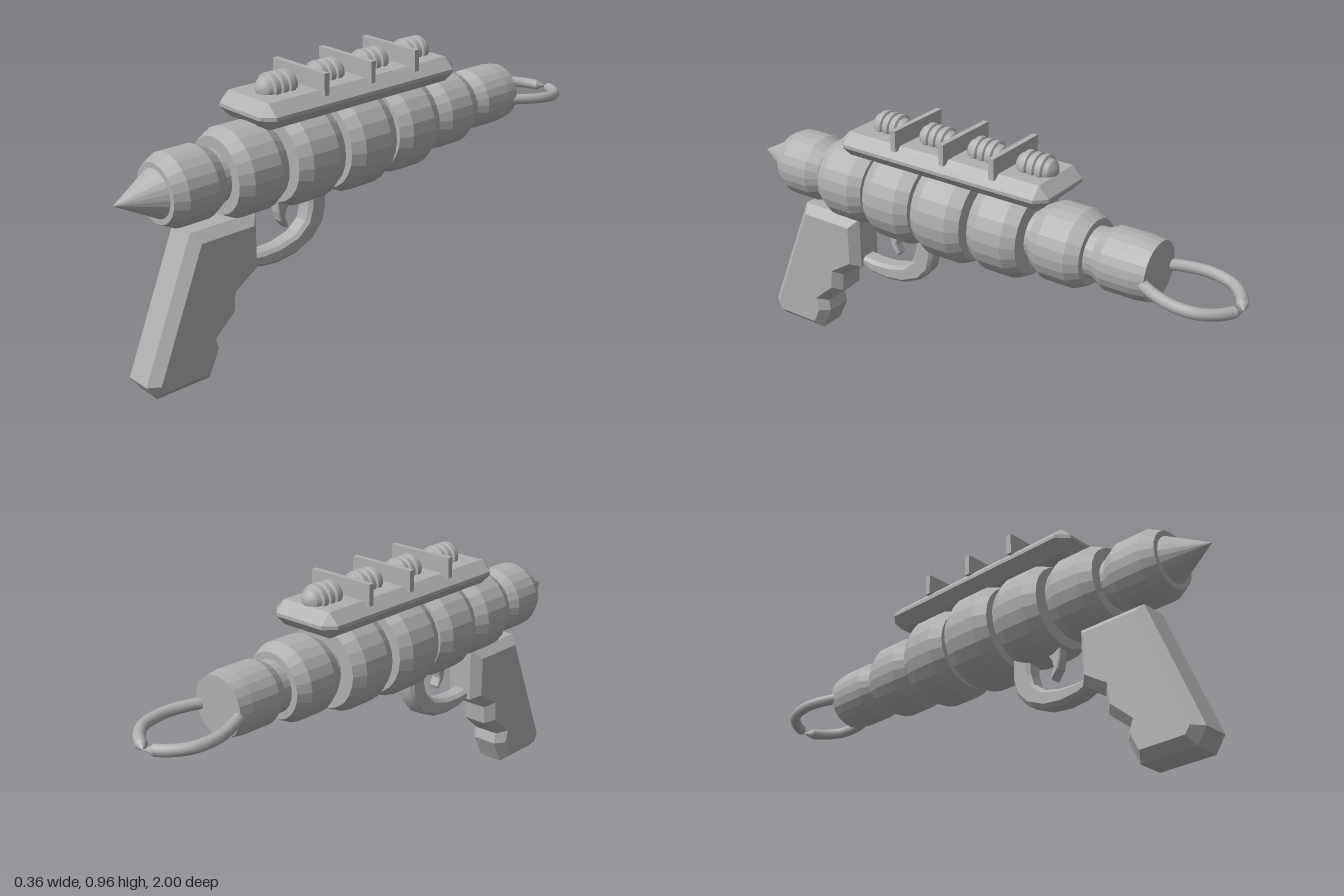
import * as THREE from 'three';
import { toCreasedNormals } from 'three/addons/utils/BufferGeometryUtils.js';
import { ConvexGeometry } from 'three/addons/geometries/ConvexGeometry.js';

const AXIS_Y = 0.67;

export function createModel() {
  const model = new THREE.Group();
  model.name = 'rayGun';
  const grey = new THREE.MeshStandardMaterial({ color: 0xb0b0b0 });
  grey.name = 'grey metal';

  const add = (name, geometry, crease = 0.01) => {
    const mesh = new THREE.Mesh(toCreasedNormals(geometry, crease), grey);
    mesh.name = name;
    model.add(mesh);
    return mesh;
  };

  // Lathe along z: profile is [radius, z] with z rising
  const turn = (profile, sides) =>
    new THREE.LatheGeometry(profile.map(([r, z]) => new THREE.Vector2(r, z)), sides).rotateX(Math.PI / 2);

  // Side outline given as [z, y], extruded across x with a chamfer inside the outline
  const sidePlate = (outline, width, bevel) => {
    const shape = new THREE.Shape(outline.map(([z, y]) => new THREE.Vector2(-z, y)));
    return new THREE.ExtrudeGeometry(shape, {
      depth: width - 2 * bevel, bevelEnabled: true, bevelSegments: 1,
      bevelSize: bevel, bevelThickness: bevel, bevelOffset: -bevel,
    }).translate(0, 0, -width / 2 + bevel).rotateY(Math.PI / 2);
  };

  // Box with every edge chamfered
  const chamferBox = (w, h, d, c) => {
    const points = [];
    for (const x of [-w / 2, w / 2]) for (const y of [-h / 2, h / 2]) for (const z of [-d / 2, d / 2]) {
      const sx = Math.sign(x) * c, sy = Math.sign(y) * c, sz = Math.sign(z) * c;
      points.push(new THREE.Vector3(x, y - sy, z - sz), new THREE.Vector3(x - sx, y, z - sz),
        new THREE.Vector3(x - sx, y - sy, z));
    }
    return new ConvexGeometry(points);
  };

  // Barrel: chamfered drums [back z, front z, radius] joined by narrow necks
  const drums = [
    [-0.47, -0.275, 0.137], [-0.245, -0.05, 0.167], [-0.025, 0.18, 0.178],
    [0.2, 0.4, 0.17], [0.425, 0.625, 0.152], [0.65, 0.85, 0.123],
  ];
  const neck = 0.09;
  const profile = [[0, -0.7], [0.103, -0.7], [0.11, -0.65], [0.11, -0.54], [neck, -0.5]];
  for (const [back, front, r] of drums) {
    profile.push([neck, back], [r - 0.023, back], [r, back + 0.045],
      [r, front - 0.045], [r - 0.023, front], [neck, front]);
  }
  profile.push([0, 0.85]);
  add('barrel', turn(profile, 24)).position.y = AXIS_Y;

  // Pointed nose
  add('nose', turn([[0, 0.845], [0.084, 0.845], [0, 1]], 24)).position.y = AXIS_Y;

  // Top rail
  add('topRail', chamferBox(0.28, 0.088, 0.865, 0.038)).position.set(0, 0.856, 0.087);

  // Fins between the power cells
  for (const z of [0.265, 0.062, -0.14]) {
    add('fin', new THREE.BoxGeometry(0.26, 0.075, 0.02)).position.set(0, 0.923, z);
  }

  // Ribbed power cells with domed ends
  const cell = [[0, -0.077], [0.02, -0.072], [0.036, -0.06], [0.042, -0.044]];
  for (const z of [-0.031, 0, 0.031]) {
    cell.push([0.043, z - 0.013], [0.051, z - 0.009], [0.051, z + 0.009], [0.043, z + 0.013]);
  }
  cell.push([0.042, 0.044], [0.036, 0.06], [0.02, 0.072], [0, 0.077]);
  for (const z of [0.367, 0.165, -0.038, -0.235]) {
    add('powerCell', turn(cell, 16), 0.45).position.set(0, 0.911, z);
  }

  // Grip with finger notches
  add('grip', sidePlate([
    [0.763, 0.527], [0.505, 0.527], [0.505, 0.33], [0.597, 0.27], [0.603, 0.2],
    [0.683, 0.13], [0.672, 0.09], [0.715, 0], [0.92, 0], [0.957, 0.054],
  ], 0.158, 0.032));

  // Trigger guard
  add('triggerGuard', sidePlate([
    [0.53, 0.37], [0.46, 0.362], [0.39, 0.365], [0.32, 0.383], [0.275, 0.42], [0.26, 0.47], [0.26, 0.56],
    [0.185, 0.56], [0.185, 0.46], [0.2, 0.4], [0.245, 0.35], [0.32, 0.316], [0.4, 0.306], [0.47, 0.313], [0.53, 0.335],
  ], 0.07, 0.012), 0.5);

  // Trigger
  add('trigger', sidePlate([
    [0.39, 0.53], [0.387, 0.48], [0.378, 0.445], [0.35, 0.413],
    [0.345, 0.425], [0.357, 0.455], [0.352, 0.48], [0.335, 0.505], [0.335, 0.53],
  ], 0.04, 0.004));

  // Rear prongs, mirrored, each ending in a pointed tip
  for (const side of [-1, 1]) {
    const path = new THREE.CatmullRomCurve3([
      [0.082, 0.657, -0.68], [0.115, 0.652, -0.75], [0.132, 0.646, -0.82],
      [0.118, 0.638, -0.9], [0.075, 0.632, -0.95], [0.03, 0.628, -0.977],
    ].map(([x, y, z]) => new THREE.Vector3(side * x, y, z)));
    add('prong', new THREE.TubeGeometry(path, 20, 0.02, 10), 0.8);
    const tip = add('prongTip', new THREE.ConeGeometry(0.02, 0.036, 10).translate(0, 0.018, 0), 0.8);
    tip.position.copy(path.getPoint(1));
    tip.quaternion.setFromUnitVectors(new THREE.Vector3(0, 1, 0), path.getTangent(1));
  }

  return model;
}
